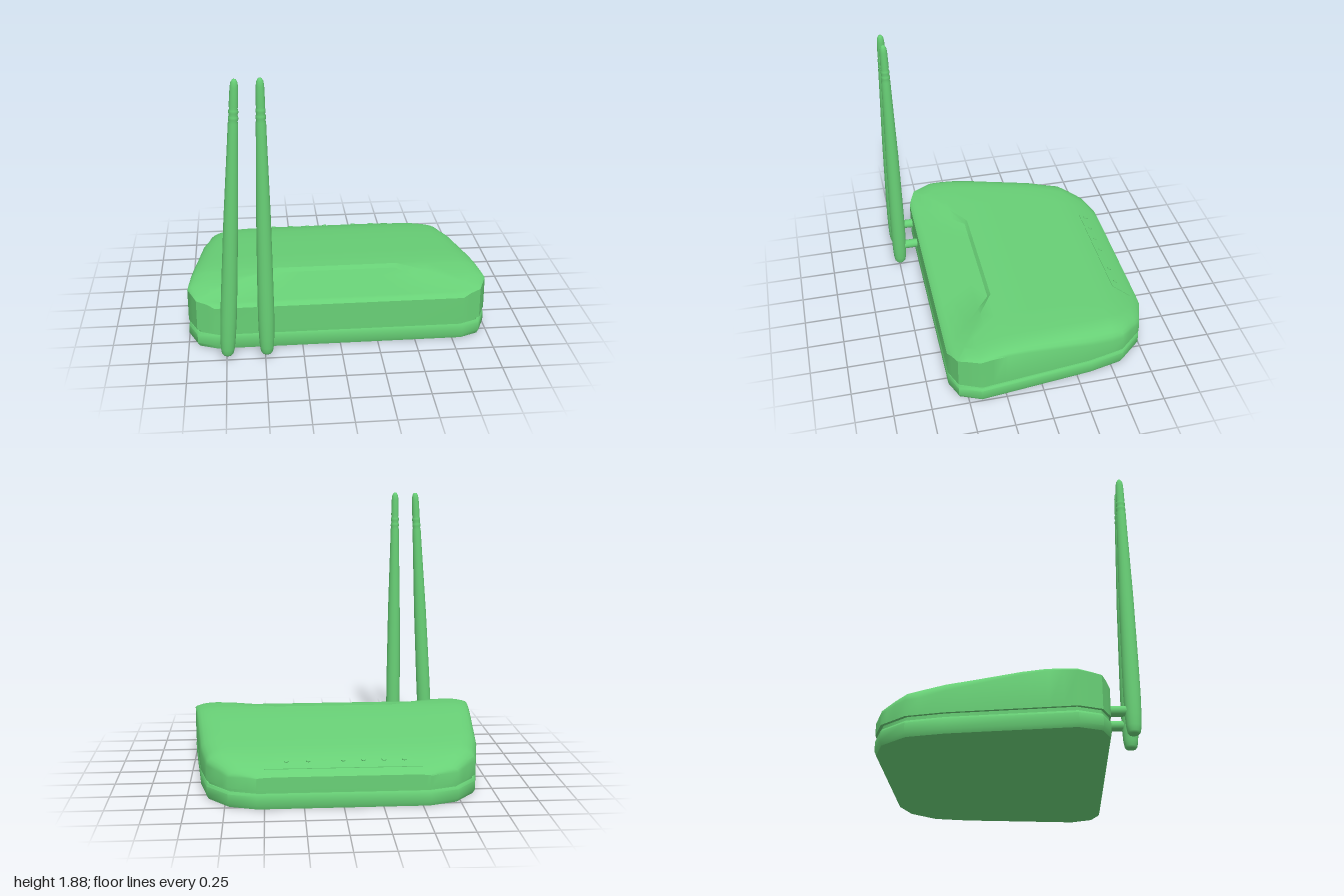
import * as THREE from 'three';
import { toCreasedNormals } from 'three/addons/utils/BufferGeometryUtils.js';

const material = new THREE.MeshStandardMaterial({ color: 0x68d076 });

// Piecewise-linear lookup tables, [z, value], from front to back
const HALF_WIDTH = [[0.61, 0.82], [0.56, 0.94], [0.42, 1], [-0.35, 0.92], [-0.58, 0.87], [-0.74, 0.73], [-0.8, 0.55]];
const TOP = [[0.61, 0.3], [0.59, 0.325], [0.56, 0.345], [0.5, 0.36], [0.42, 0.375], [0.34, 0.385], [0.235, 0.39],
  [0.1, 0.384], [-0.1, 0.364], [-0.35, 0.338], [-0.5, 0.318], [-0.58, 0.302], [-0.65, 0.282], [-0.7, 0.263],
  [-0.74, 0.246], [-0.78, 0.226], [-0.8, 0.21]];
const EDGE_DROP = [[0.61, 0], [0.56, 0.01], [0.42, 0.03], [-0.5, 0.09], [-0.74, 0.05], [-0.8, 0.01]];
const FLOOR = [[0.61, 0.3], [0.59, 0.318], [0.255, 0.365], [0.235, 0.39]];
const RECESS_INNER = [[0.61, 0.82], [0.255, 0.41]];
const RECESS_OUTER = [[0.56, 0.94], [0.235, 0.42]];

function lookup(table, z) {
  if (z >= table[0][0]) return table[0][1];
  for (let i = 1; i < table.length; i++) {
    const [z0, a] = table[i - 1], [z1, b] = table[i];
    if (z >= z1) return a + (b - a) * (z - z0) / (z1 - z0);
  }
  return table[table.length - 1][1];
}

// Collects triangles, skipping collapsed ones
function addTriangle(out, a, b, c) {
  const area = new THREE.Vector3().subVectors(b, a).cross(new THREE.Vector3().subVectors(c, a)).length();
  if (area > 1e-7) out.push(...a, ...b, ...c);
}

function addQuad(out, a, b, c, d) {
  addTriangle(out, a, b, c);
  addTriangle(out, a, c, d);
}

// Joins closed rings, listed from bottom to top
function addLoft(out, rings) {
  for (let r = 0; r + 1 < rings.length; r++) {
    const lo = rings[r], hi = rings[r + 1], n = lo.length;
    for (let i = 0; i < n; i++) addQuad(out, lo[i], lo[(i + 1) % n], hi[(i + 1) % n], hi[i]);
  }
}

function addCap(out, ring, up) {
  for (let i = 1; i + 1 < ring.length; i++) {
    if (up) addTriangle(out, ring[0], ring[i], ring[i + 1]);
    else addTriangle(out, ring[0], ring[i + 1], ring[i]);
  }
}

function makeMesh(name, positions, crease) {
  const geo = new THREE.BufferGeometry();
  geo.setAttribute('position', new THREE.Float32BufferAttribute(positions, 3));
  const mesh = new THREE.Mesh(toCreasedNormals(geo, crease), material);
  mesh.name = name;
  return mesh;
}

// Casing outline at height y, shrunk by an inset
function outline(y, inset) {
  const right = HALF_WIDTH.map(([z, x]) => new THREE.Vector3(x * (1 - inset), y, z * (1 - inset)));
  const left = right.map(p => new THREE.Vector3(-p.x, p.y, p.z)).reverse();
  return [...right, ...left];
}

function prism(name, profile, crease) {
  const out = [], rings = profile.map(([y, inset]) => outline(y, inset));
  addLoft(out, rings);
  addCap(out, rings[0], false);
  addCap(out, rings[rings.length - 1], true);
  return makeMesh(name, out, crease);
}

// Upper casing: domed lid with a sunken trapezoid at the front and straight walls
function upperCasing() {
  const zs = [0.61, 0.59, 0.56, 0.5, 0.42, 0.34, 0.255, 0.235, 0.17, 0.1, 0, -0.1, -0.22, -0.35, -0.5, -0.58,
    -0.65, -0.7, -0.74, -0.76, -0.78, -0.8];
  const rows = zs.map(z => {
    const w = lookup(HALF_WIDTH, z), top = lookup(TOP, z), drop = lookup(EDGE_DROP, z);
    const inner = Math.min(lookup(RECESS_INNER, z), w);
    const outer = Math.min(lookup(RECESS_OUTER, z), w);
    const shoulder = Math.max(outer, w - 0.15);
    const xs = [0, inner / 2, inner, outer, (outer + shoulder) / 2, shoulder,
      ...[0.1, 0.06, 0.03, 0.01, 0].map(d => Math.max(outer, w - d))];
    const half = xs.map((x, i) => {
      if (i < 3 && z > 0.235) return new THREE.Vector3(x, lookup(FLOOR, z), z);
      const t = Math.max(0, 1 - (w - x) / 0.15);
      return new THREE.Vector3(x, top - drop * (1 - Math.sqrt(1 - t * t)), z);
    });
    const mirrored = half.slice(1).reverse().map(p => new THREE.Vector3(-p.x, p.y, p.z));
    return [...mirrored, ...half];
  });
  const out = [], last = rows[0].length - 1;
  for (let r = 0; r + 1 < rows.length; r++) {
    for (let c = 0; c < last; c++) addQuad(out, rows[r][c], rows[r][c + 1], rows[r + 1][c + 1], rows[r + 1][c]);
  }
  const middle = rows.slice(1, -1);
  const rim = [...rows[0], ...middle.map(r => r[last]), ...[...rows[rows.length - 1]].reverse(),
    ...middle.map(r => r[0]).reverse()];
  const foot = rim.map(p => new THREE.Vector3(p.x, 0.125, p.z));
  addLoft(out, [foot, rim]);
  addCap(out, foot, false);
  return makeMesh('upperCasing', out, 0.62);
}

// Thin trapezoid plate with a row of small indicator lights
function indicatorPanel() {
  const group = new THREE.Group();
  group.name = 'indicatorPanel';
  const geo = new THREE.BoxGeometry(1, 0.02, 0.105, 1, 1, 4).translate(0, -0.006, -0.6925);
  const p = geo.attributes.position;
  for (let i = 0; i < p.count; i++) {
    const z = p.getZ(i);
    p.setX(i, p.getX(i) * (1 - 0.16 * (z + 0.745) / 0.105));
    p.setY(i, p.getY(i) + lookup(TOP, z));
  }
  const plate = new THREE.Mesh(toCreasedNormals(geo, 0.5), material);
  plate.name = 'indicatorPlate';
  group.add(plate);
  for (const x of [-0.39, -0.26, -0.13, 0, 0.22, 0.36]) {
    const light = new THREE.Mesh(new THREE.CylinderGeometry(0.015, 0.015, 0.012, 14), material);
    light.name = 'indicatorLight';
    light.position.set(x, lookup(TOP, -0.68) + 0.005, -0.68);
    light.rotation.x = -0.4;
    group.add(light);
  }
  return group;
}

// Tapered antenna on a short hinge peg; the group origin is the hinge
function antenna(x, tilt) {
  const group = new THREE.Group();
  group.name = 'antenna';
  group.position.set(x, 0.19, 0.745);
  const profile = [[0, 0.04], [0.03, 0.042], [0.039, 0.055], [0.045, 0.09], [0.049, 0.16], [0.052, 0.3], [0.051, 0.5],
    [0.045, 1], [0.033, 1.5], [0.031, 1.61], [0.027, 1.62], [0.031, 1.635], [0.03, 1.65], [0.026, 1.66],
    [0.03, 1.675], [0.029, 1.69], [0.025, 1.7], [0.028, 1.715], [0.025, 1.83], [0.021, 1.86], [0.012, 1.877], [0, 1.88]];
  const geo = new THREE.LatheGeometry(profile.map(([r, y]) => new THREE.Vector2(r, y - 0.19)), 20);
  const rod = new THREE.Mesh(geo, material);
  rod.name = 'antennaRod';
  rod.rotation.z = -tilt;
  const peg = new THREE.Mesh(new THREE.CylinderGeometry(0.032, 0.032, 0.18, 16), material);
  peg.name = 'hingePeg';
  peg.rotation.x = Math.PI / 2;
  peg.position.z = -0.08;
  group.add(rod, peg);
  return group;
}

export function createModel() {
  const model = new THREE.Group();
  model.name = 'router';
  model.add(
    prism('baseTray', [[0, 0.012], [0.025, 0], [0.085, 0], [0.1, 0.01]], 0.7),
    prism('seamGroove', [[0.09, 0.02], [0.13, 0.02]], 0.7),
    upperCasing(),
    indicatorPanel(),
    antenna(-0.49, 0),
    antenna(-0.735, 0.057)
  );
  return model;
}
